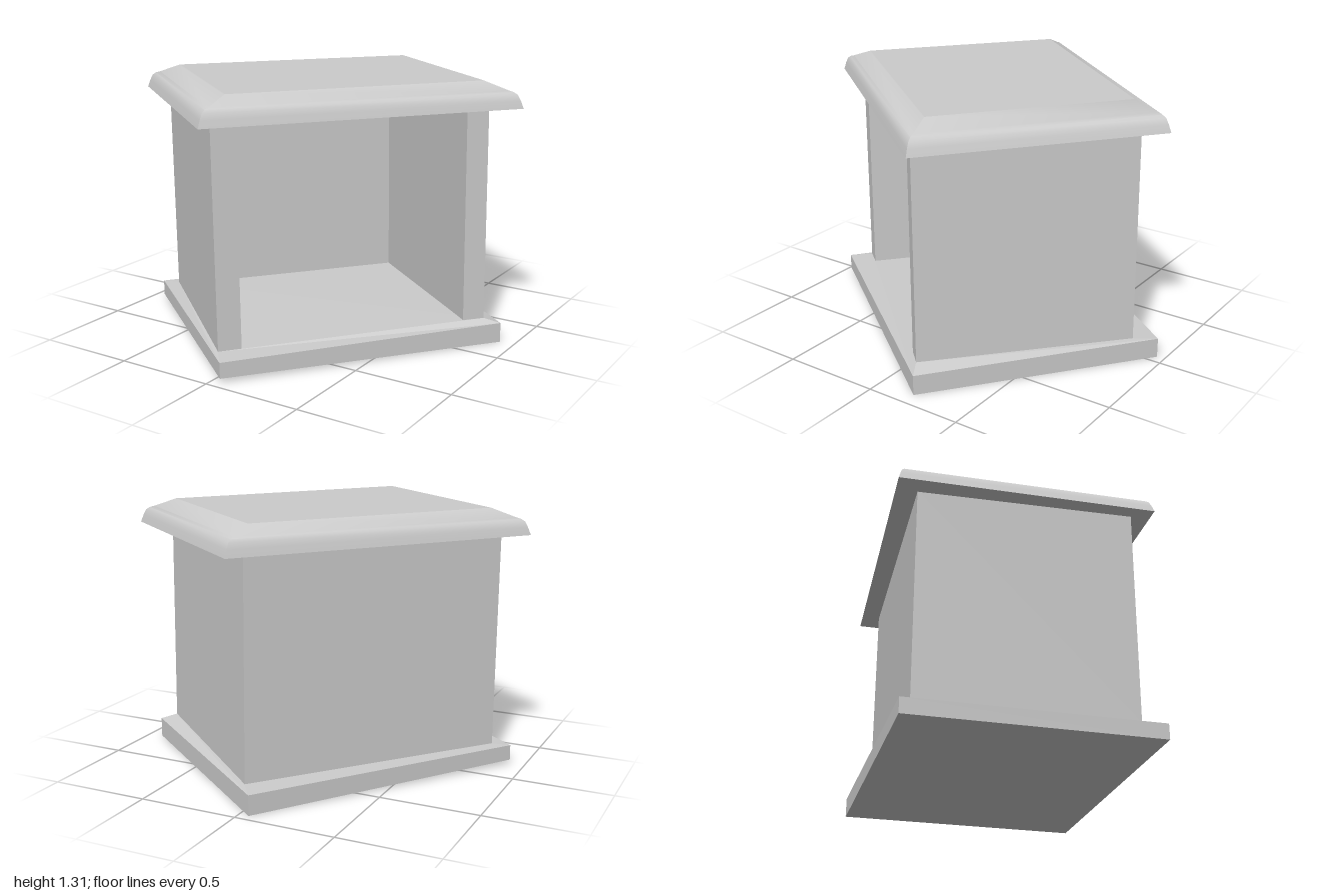
import * as THREE from 'three';
import { mergeGeometries, toCreasedNormals } from 'three/addons/utils/BufferGeometryUtils.js';

const material = new THREE.MeshStandardMaterial({ color: 0xcccccc });

function soup(quads) {
  const pos = [];
  for (const [a, b, c, d] of quads) pos.push(...a, ...b, ...c, ...a, ...c, ...d);
  const g = new THREE.BufferGeometry();
  g.setAttribute('position', new THREE.Float32BufferAttribute(pos, 3));
  g.computeVertexNormals();
  return g;
}

// Closed four-sided solid through rings of corners, lowest ring first
function loft(name, rings, crease = 0) {
  const sides = [];
  for (let i = 0; i + 1 < rings.length; i++) {
    for (let j = 0; j < 4; j++) {
      const k = (j + 1) % 4;
      sides.push([rings[i][j], rings[i + 1][j], rings[i + 1][k], rings[i][k]]);
    }
  }
  const caps = soup([rings[0], [...rings.at(-1)].reverse()]);
  let skin = soup(sides);
  if (crease) skin = toCreasedNormals(skin, crease);
  const mesh = new THREE.Mesh(mergeGeometries([skin, caps]), material);
  mesh.name = name;
  return mesh;
}

// Lift [x, z] corners to a height, or to one height per corner
const ring = (corners, y, scale = 1, dx = 0, dz = 0) =>
  corners.map(([x, z], i) => [x * scale + dx, Array.isArray(y) ? y[i] : y, z * scale + dz]);

export function createModel() {
  const model = new THREE.Group();
  model.name = 'openShelter';

  // Corner order: back, left, front, right
  const baseCorners = [[-0.05, -0.96], [0.925, -0.2], [0.05, 0.96], [-0.925, 0.2]];
  const [A, B, C, D] = [[0.025, -0.86], [0.85, -0.16], [-0.03, 0.867], [-0.833, 0.18]];
  const [Ai, Bi, Ci, Di] = [[-0.02, -0.74], [0.775, -0.08], [0.043, 0.78], [-0.727, 0.12]];

  // Base slab, thinner toward the front, with a slightly uneven floor
  model.add(loft('base', [
    ring(baseCorners, [0, 0, 0.022, 0.022]),
    ring(baseCorners, 0.1),
    ring([A, B, C, D], [0.105, 0.125, 0.105, 0.103]),
  ]));

  // Three walls, leaning a little; the fourth side stays open
  const walls = { leftWall: [A, B, Bi, Ai], rightWall: [Ci, C, D, Di], backWall: [D, A, Ai, Di] };
  for (const [name, plan] of Object.entries(walls)) {
    model.add(loft(name, [ring(plan, 0.1), ring(plan, 1.19, 1, -0.008, 0.01)]));
  }

  // Overhanging roof slab with a rounded rim and sloped border
  const roofCorners = [[0.02, -1], [0.98, -0.24], [-0.01, 0.995], [-0.985, 0.2]];
  const profile = [[1, 1.185], [0.985, 1.222], [0.97, 1.25], [0.95, 1.263], [0.925, 1.27], [0.805, 1.312]];
  model.add(loft('roof', profile.map(([s, y]) => ring(roofCorners, y, s)), 0.65));

  return model;
}
